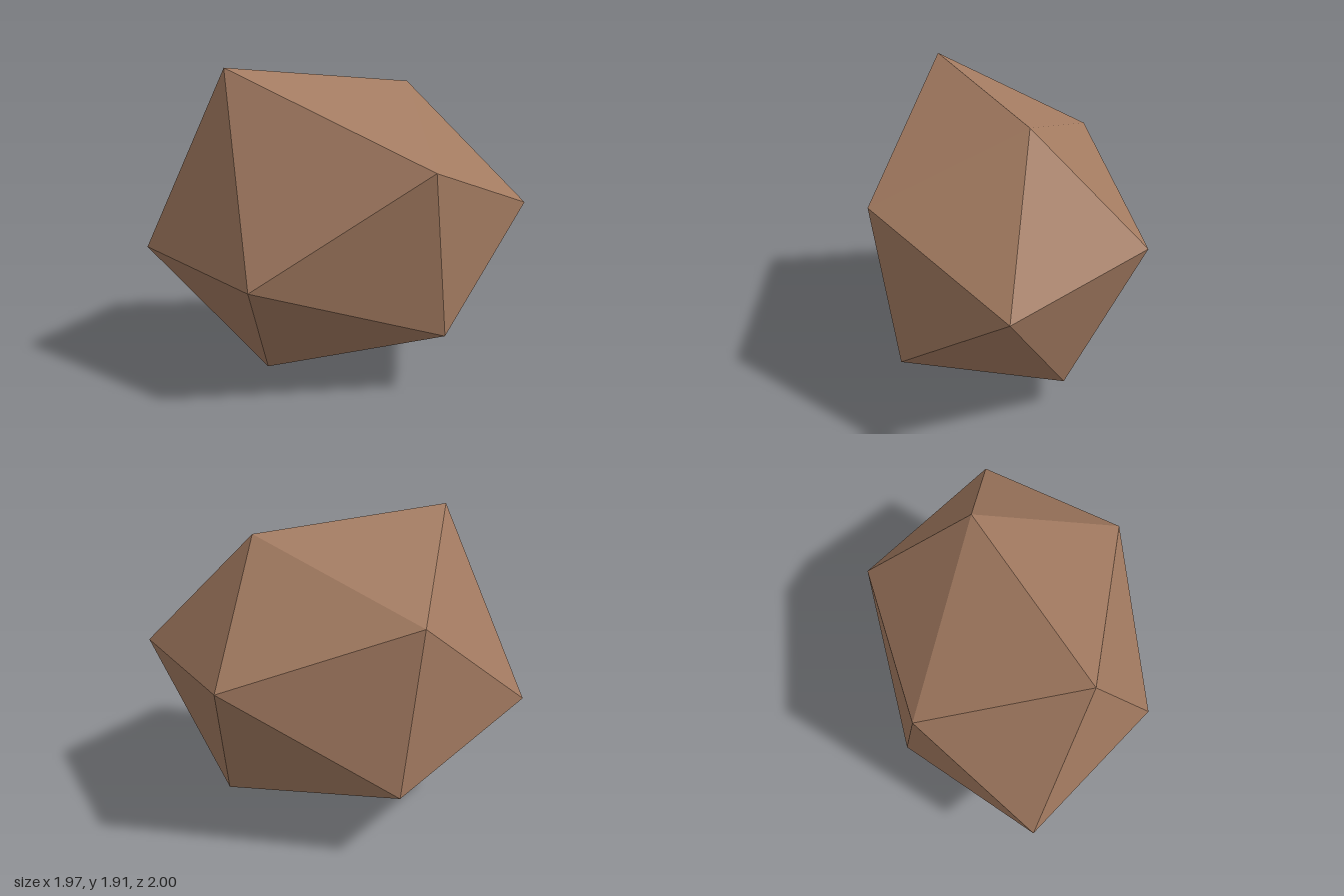
import * as THREE from 'three';

// Corners of a slightly distorted twenty-sided boulder
const corners = {
  A: [-0.33, 1.91, 0.68], // peak
  H: [-0.985, 0.77, 0.705], J: [0.06, 0.725, 1.0], C: [0.845, 1.36, 0.32],
  B: [0.28, 1.8, -0.39], I: [-0.85, 1.43, -0.15], // ring around the peak
  D: [0.985, 1.03, -0.71], L: [-0.065, 1.07, -1.0], G: [-0.85, 0.44, -0.32],
  F: [-0.28, 0.0, 0.39], E: [0.845, 0.365, 0.15], // ring around the underside
  K: [0.275, 0.19, -0.665], // underside
};

export function createModel() {
  const rockBrown = new THREE.MeshStandardMaterial({ color: 0xa27a60 });
  rockBrown.name = 'rock brown';
  rockBrown.flatShading = true;

  const upper = ['H', 'J', 'C', 'B', 'I'];
  const lower = ['D', 'L', 'G', 'F', 'E']; // each opposite its upper partner
  const positions = [];
  const face = (...names) => names.forEach((n) => positions.push(...corners[n]));

  for (let i = 0; i < 5; i++) {
    const n = (i + 1) % 5;
    face('A', upper[i], upper[n]); // upper cap
    face('K', lower[n], lower[i]); // lower cap
    face(upper[n], upper[i], lower[(i + 3) % 5]); // belt, pointing down
    face(lower[i], lower[n], upper[(i + 3) % 5]); // belt, pointing up
  }

  const geometry = new THREE.BufferGeometry();
  geometry.setAttribute('position', new THREE.Float32BufferAttribute(positions, 3));
  geometry.computeVertexNormals();

  const rock = new THREE.Mesh(geometry, rockBrown);
  rock.name = 'rock';
  const group = new THREE.Group();
  group.name = 'boulder';
  group.add(rock);
  return group;
}
